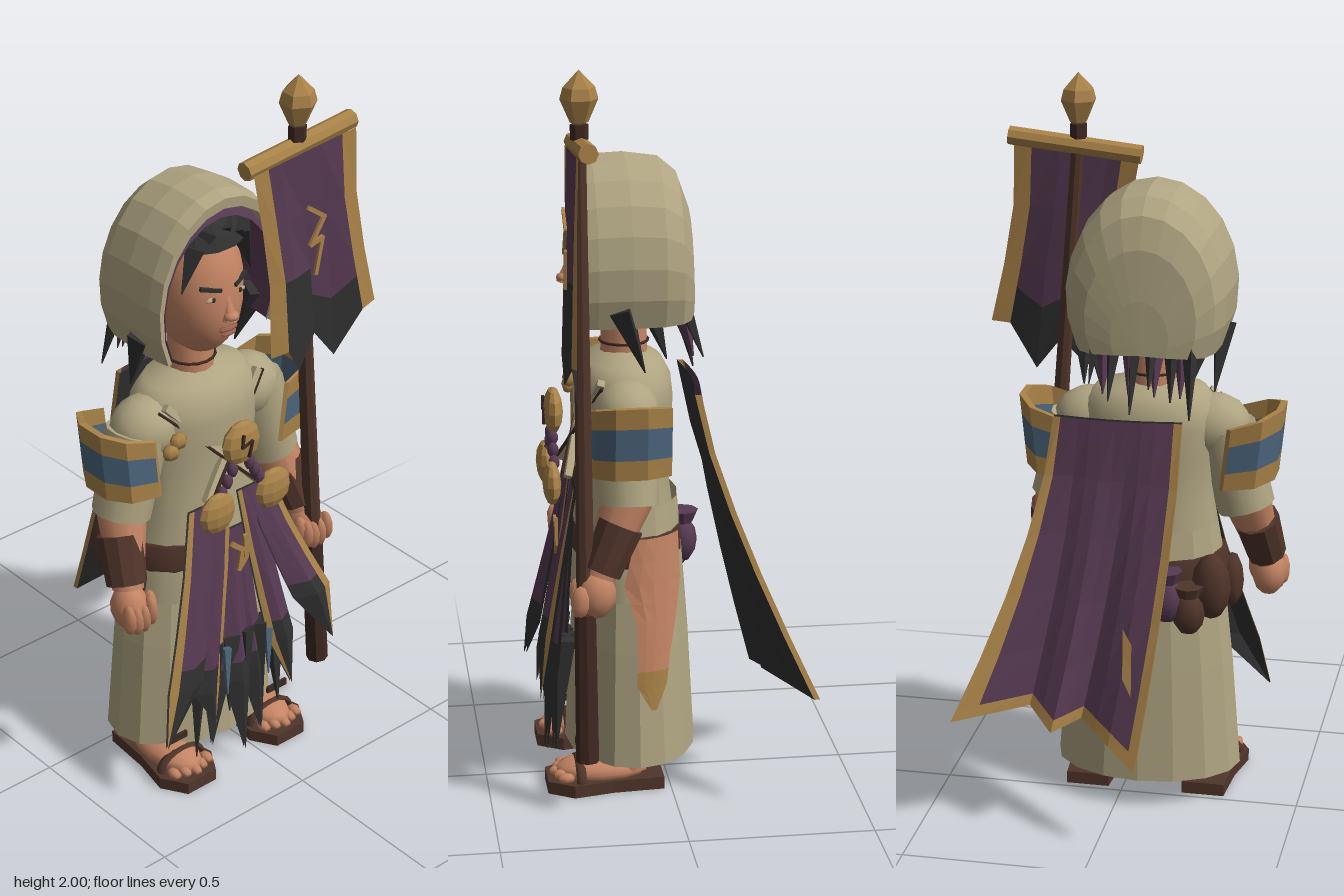
import * as THREE from 'three';

const mats = {};
for (const [k, c] of Object.entries({
  linen: 0xb0a582, purple: 0x573a52, charcoal: 0x303031, gold: 0xa98248, blue: 0x4c667c,
  brown: 0x50352a, wood: 0x3e2822, skin: 0xc58564, lip: 0x96604c })) {
  mats[k] = new THREE.MeshStandardMaterial({ color: c, side: THREE.DoubleSide });
  mats[k].name = k;
}
const V = (x, y, z) => new THREE.Vector3(x, y, z);
const CX = -0.065; // body centre line

function flat(g) {
  const n = g.index ? g.toNonIndexed() : g;
  n.computeVertexNormals();
  return n;
}

export function createModel() {
  const root = new THREE.Group();
  root.name = 'bannerBearer';
  const add = (name, geo, mat, pos = [0, 0, 0]) => {
    const m = new THREE.Mesh(geo, mats[mat]);
    m.name = name;
    m.position.set(...pos);
    root.add(m);
    return m;
  };
  const ball = (name, mat, pos, s, w = 12, h = 8) =>
    add(name, new THREE.SphereGeometry(1, w, h).scale(...s), mat, pos);
  // tapered rod from a to b
  const rod = (name, mat, a, ra, b, rb, n = 10, faceted = false) => {
    const d = b.clone().sub(a);
    let g = new THREE.CylinderGeometry(rb, ra, d.length(), n);
    if (faceted) g = flat(g);
    const m = add(name, g, mat, a.clone().lerp(b, 0.5).toArray());
    m.quaternion.setFromUnitVectors(V(0, 1, 0), d.normalize());
  };
  // cloth grid f(u, v), one mesh per colour chosen by cell
  const panel = (name, f, us, vs, colour) => {
    const cells = {};
    for (let i = 0; i + 1 < us.length; i++) for (let j = 0; j + 1 < vs.length; j++) {
      const [a, b, c, d] = [[i, j], [i, j + 1], [i + 1, j + 1], [i + 1, j]].map(([p, q]) => f(us[p], vs[q]));
      const k = colour((us[i] + us[i + 1]) / 2, (vs[j] + vs[j + 1]) / 2);
      (cells[k] ??= []).push(...a, ...b, ...c, ...a, ...c, ...d);
    }
    for (const k in cells) {
      const g = new THREE.BufferGeometry();
      g.setAttribute('position', new THREE.Float32BufferAttribute(cells[k], 3));
      g.computeVertexNormals();
      add(name + '_' + k, g, k);
    }
  };
  const steps = n => Array.from({ length: n + 1 }, (_, i) => i / n);
  const mix = (a, b, t) => a.map((p, k) => p + (b[k] - p) * t);
  const along = (pts, t) => {
    const s = Math.min(t * (pts.length - 1), pts.length - 1.0001), i = Math.floor(s);
    return mix(pts[i], pts[i + 1], s - i);
  };
  const lathe = (pts, n) => new THREE.LatheGeometry(pts.map(p => new THREE.Vector2(...p)), n).scale(1, 1, 0.7);
  const zigzag = (name, mat, pts, z, w) => {
    for (let i = 0; i + 1 < pts.length; i++) {
      const [a, b] = [pts[i], pts[i + 1]], dx = b[0] - a[0], dy = b[1] - a[1];
      const g = new THREE.BoxGeometry(Math.hypot(dx, dy) + w / 2, w, 0.008).rotateZ(Math.atan2(dy, dx));
      add(name, g, mat, [(a[0] + b[0]) / 2, (a[1] + b[1]) / 2, z]);
    }
  };

  // robe
  add('skirt', flat(lathe([[0, 0.09], [0.26, 0.08], [0.235, 0.4], [0.205, 0.68], [0.19, 0.8]], 16)), 'linen', [CX, 0, 0.09]);
  add('tunic', lathe([[0.215, 0.54], [0.205, 0.7], [0.178, 0.85], [0.188, 1], [0.195, 1.08], [0.187, 1.13], [0.15, 1.18], [0.05, 1.205]], 20), 'linen', [CX, 0, 0.105]);
  add('belt', lathe([[0.212, 0.64], [0.222, 0.65], [0.217, 0.72], [0.2, 0.725]], 16), 'brown', [CX, 0, 0.1]);

  // hip drape wrapped on the robe, with a ragged tip
  panel('hipDrape', (u, v) => {
    const [y, z0, z1] = along([[0.73, 0.1, -0.025], [0.6, 0.13, -0.03], [0.5, 0.1, -0.015], [0.4, 0.095, 0.005], [0.32, 0.1, 0.015], [0.25, 0.06, 0.045]], v);
    const z = z0 + (z1 - z0) * u, r = 0.287 - 0.08 * y;
    return [CX + r * Math.sqrt(1 - ((z - 0.09) / (r * 0.72)) ** 2), y, z];
  }, steps(4), steps(10), (u, v) => v > 0.7 ? 'gold' : 'skin');

  // arms, sandals
  for (const s of [-1, 1]) {
    const P = (x, y, z) => V(CX + s * x, y, z);
    ball('shoulder', 'linen', P(0.17, 1.07, 0.115).toArray(), [0.105, 0.09, 0.09]);
    rod('sleeve', 'linen', P(0.2, 1.07, 0.115), 0.085, P(0.262, 0.84, 0.12), 0.08, 12);
    rod('forearm', 'skin', P(0.262, 0.87, 0.12), 0.07, P(0.31, 0.66, 0.205), 0.042, 10);
    rod('bracer', 'brown', P(0.287, 0.795, 0.145), 0.064, P(0.31, 0.675, 0.2), 0.055, 10, true);
    ball('hand', 'skin', P(0.315, 0.615, 0.215).toArray(), [0.05, 0.068, 0.055], 10, 7);
    for (let i = 0; i < 4; i++) ball('finger', 'skin', P(0.28 + i * 0.024, 0.595 + (i % 3 ? 0 : 0.012), 0.26).toArray(), [0.016, 0.045, 0.026], 6, 5);
    ball('thumb', 'skin', P(0.27, 0.62, 0.245).toArray(), [0.018, 0.04, 0.025], 6, 5);
    // open armband with a thick rim
    const band = [[0.215, 0.0], [0.3, 0.01], [0.345, 0.08], [0.345, 0.165], [0.3, 0.215], [0.215, 0.225]];
    const arc = k => (u, v) => {
      const [x, z] = along(band, u), out = (x - 0.215) / 0.13;
      return P((x + v * 0.02) * k, 0.92 + out * 0.015 + v * (0.175 + out * 0.025), 0.11 + (z - 0.11) * k).toArray();
    };
    const outer = arc(1), inner = arc(0.95);
    for (const f of [outer, inner])
      panel('armBand', f, steps(5), [0, 0.28, 0.72, 1], (u, v) => Math.abs(v - 0.5) < 0.2 ? 'blue' : 'gold');
    for (const e of [0, 1]) {
      panel('armBandRim', (u, v) => mix(outer(u, e), inner(u, e), v), steps(5), [0, 1], () => 'gold');
      panel('armBandEnd', (u, v) => mix(outer(e, u), inner(e, u), v), [0, 1], [0, 1], () => 'gold');
    }

    const fx = CX + s * 0.165;
    const sole = new THREE.Shape();
    sole.moveTo(-0.06, -0.02);
    sole.lineTo(0.06, -0.02); sole.lineTo(0.07, -0.16); sole.lineTo(0.093, -0.27);
    sole.lineTo(0.05, -0.34); sole.lineTo(-0.05, -0.34); sole.lineTo(-0.093, -0.27); sole.lineTo(-0.07, -0.16);
    add('sandalSole', new THREE.ExtrudeGeometry(sole, { depth: 0.035, bevelEnabled: false }).rotateX(-Math.PI / 2), 'brown', [fx, 0, 0]);
    ball('foot', 'skin', [fx, 0.05, 0.19], [0.068, 0.042, 0.13]);
    for (let i = 0; i < 5; i++) ball('toe', 'skin', [fx + (i - 2) * 0.029, 0.045, 0.31 - Math.abs(i - 2) * 0.01], [0.016, 0.015, 0.025], 6, 5);
    rod('ankle', 'skin', V(fx, 0.05, 0.11), 0.052, V(fx, 0.2, 0.1), 0.055);
    add('sandalStrap', new THREE.TorusGeometry(0.068, 0.008, 5, 10, Math.PI).scale(1.1, 0.72, 1.8), 'brown', [fx, 0.033, 0.25]);
    add('hemPatch', new THREE.BoxGeometry(0.07, 0.02, 0.008), 'wood', [fx + s * 0.02, 0.13, 0.255]);
  }

  // head
  const HX = -0.07;
  const head = new THREE.SphereGeometry(1, 20, 16), hp = head.attributes.position;
  for (let i = 0; i < hp.count; i++) {
    const y = hp.getY(i), low = Math.min(y, 0);
    hp.setXYZ(i, hp.getX(i) * 0.12 * (1 + 0.1 * low), y * 0.2, hp.getZ(i) * 0.132 * (1 - 0.18 * low));
  }
  head.computeVertexNormals();
  add('head', head, 'skin', [HX, 1.45, 0.12]);
  rod('neck', 'skin', V(HX, 1.15, 0.1), 0.065, V(HX, 1.36, 0.1), 0.06, 12);
  add('necklace', new THREE.TorusGeometry(0.066, 0.004, 5, 16).rotateX(Math.PI / 2), 'wood', [HX, 1.225, 0.1]);
  const nose = add('nose', new THREE.ConeGeometry(0.022, 0.085, 6), 'skin', [HX, 1.43, 0.252]);
  nose.rotation.x = -0.18;
  ball('noseTip', 'skin', [HX, 1.402, 0.262], [0.022, 0.014, 0.02], 8, 6);
  ball('upperLip', 'lip', [HX, 1.362, 0.25], [0.033, 0.007, 0.012], 8, 5);
  ball('lowerLip', 'lip', [HX, 1.348, 0.25], [0.027, 0.007, 0.012], 8, 5);
  for (const s of [-1, 1]) {
    ball('eye', 'linen', [HX + s * 0.046, 1.455, 0.239], [0.021, 0.007, 0.007], 8, 5);
    ball('iris', 'wood', [HX + s * 0.045, 1.455, 0.2435], [0.007, 0.007, 0.004], 8, 5);
    const brow = add('brow', new THREE.BoxGeometry(0.06, 0.01, 0.01), 'charcoal', [HX + s * 0.05, 1.485, 0.238]);
    brow.rotation.set(0, s * 0.35, s * 0.22);
    ball('ear', 'skin', [HX + s * 0.115, 1.44, 0.11], [0.018, 0.04, 0.028], 8, 6);
  }
  // hair cap, fringe and hanging locks
  add('hairCap', flat(new THREE.SphereGeometry(1, 14, 6, 0, Math.PI * 2, 0, 1.1).scale(0.15, 0.2, 0.145)), 'charcoal', [HX, 1.495, 0.115]);
  add('backHair', flat(new THREE.SphereGeometry(0.14, 12, 8, Math.PI, Math.PI).scale(1, 1.35, 0.95)), 'charcoal', [HX, 1.47, 0.08]);
  const lock = (name, a, b, r, mat = 'charcoal') => rod(name, mat, V(...a), r, V(...b), 0.002, 4, true);
  for (const [x, y, tx, ty] of [[-0.05, 1.64, -0.03, 1.585], [-0.1, 1.63, -0.14, 1.56], [-0.14, 1.6, -0.185, 1.48], [-0.01, 1.62, 0.02, 1.55], [0.01, 1.61, 0.048, 1.48]])
    lock('fringe', [x, y, 0.2], [tx, ty, 0.2], 0.036);
  for (const s of [-1, 1]) {
    lock('sideHair', [HX + s * 0.125, 1.6, 0.15], [HX + s * 0.135, 1.4, 0.14], 0.035);
    lock('sideLock', [CX + s * 0.195, 1.36, 0.13], [CX + s * 0.18, 1.18, 0.065], 0.038);
    lock('sideLock', [CX + s * 0.155, 1.35, 0.05], [CX + s * 0.12, 1.2, 0.0], 0.03);
  }
  for (let i = 0; i < 6; i++)
    lock('napeLock', [CX - 0.13 + i * 0.05, 1.38, -0.035], [CX - 0.14 + i * 0.055, 1.15 + (i % 3) * 0.04, -0.105 + (i % 2) * 0.02], 0.028);
  for (let i = 0; i < 4; i++)
    lock('napeScarf', [CX - 0.11 + i * 0.07, 1.36, -0.035], [CX - 0.11 + i * 0.07, 1.2, -0.075], 0.03, 'purple');

  // hood: arched sections [z, scale] from rim to back
  const hood = (name, rows, mat) => panel(name, (u, v) => {
    const [z, s] = along(rows, v), a = (-30 + 240 * u) * Math.PI / 180;
    return [CX + Math.cos(a) * 0.225 * s, 1.315 + (0.135 + Math.sin(a) * 0.29) * s, z];
  }, steps(14), steps(rows.length - 1), () => mat);
  hood('hood', [[0.2, 0.87], [0.225, 0.89], [0.228, 0.96], [0.19, 0.99], [0.1, 1], [0.01, 0.97], [-0.04, 0.87], [-0.07, 0.67], [-0.082, 0.35], [-0.085, 0]], 'linen');
  hood('hoodLining', [[0.212, 0.82], [0.2, 0.88], [0.1, 0.93], [0, 0.9], [-0.05, 0.7], [-0.072, 0]], 'purple');

  // cape with folded hem, dark inner face and a gold rim
  const hem = [[-0.11, 0.24, -0.37], [-0.03, 0.29, -0.32], [0.06, 0.33, -0.24], [0.13, 0.31, -0.31], [0.2, 0.36, -0.25], [0.395, 0.34, -0.36]];
  const cape = off => (u, v) => {
    const b = along(hem, u), kx = Math.pow(v, 1.55), kz = Math.pow(v, 1.3);
    const x = -0.18 + 0.35 * u, z = -0.07 - 0.015 * Math.sin(u * Math.PI);
    return [x + (b[0] - x) * kx, 1.13 + (b[1] - 1.13) * v, z + (b[2] - z) * kz + Math.sin(u * 16) * 0.012 * v * (1 - v) + off];
  };
  const cu = [0, 0.06, 0.2, 0.3, 0.4, 0.5, 0.6, 0.7, 0.8, 0.94, 1], cv = [0, 0.2, 0.4, 0.6, 0.8, 0.96, 1];
  const outside = cape(-0.006), inside = cape(0.01);
  panel('cape', outside, cu, cv, (u, v) => u < 0.06 || u > 0.94 || v > 0.96 ? 'gold' : 'purple');
  panel('capeLining', inside, cu, cv, () => 'charcoal');
  for (const e of [0, 1]) panel('capeSideRim', (k, v) => mix(outside(e, v), inside(e, v), k), [0, 1], cv, () => 'gold');
  panel('capeHemRim', (u, k) => mix(outside(u, 1), inside(u, 1), k), cu, [0, 1], () => 'gold');
  panel('capePatch', (u, v) => cape(-0.013)(0.17 + 0.08 * u - 0.06 * v, 0.68 + 0.14 * v - 0.03 * u), [0, 1], steps(2), () => 'gold');

  // front tabard strips: top x, width, hem x, width, hem y, tip x, tip y, hem z, gold left, gold right, top y
  const strips = [
    [-0.16, 0.09, -0.28, 0.12, 0.36, -0.37, 0.21, 0.345, 1, 0, 0.85],
    [-0.1, 0.08, -0.19, 0.09, 0.3, -0.18, 0.2, 0.325, 0, 1, 0.85],
    [-0.09, 0.05, -0.13, 0.09, 0.27, -0.17, 0.1, 0.3, 0, 0, 0.74],
    [-0.055, 0.05, -0.07, 0.09, 0.28, -0.06, 0.04, 0.315, 0, 0, 0.74],
    [-0.03, 0.05, 0, 0.09, 0.28, 0.01, 0.07, 0.3, 0, 0, 0.74],
    [0.0, 0.07, 0.08, 0.09, 0.36, 0.1, 0.2, 0.325, 1, 0, 0.85],
    [0.04, 0.09, 0.17, 0.13, 0.48, 0.23, 0.31, 0.35, 0, 1, 0.85]];
  strips.forEach(([x0, w0, x1, w1, y1, tx, ty, z1, gl, gr, y0], n) => {
    const strip = off => (u, v) => {
      const h = x1 + (u - 0.5) * w1;
      if (v > 0.8) {
        const t = (v - 0.8) / 0.2;
        return [h + (tx - h) * t, y1 + (ty - y1) * t, z1 + 0.015 * t + off];
      }
      const t = v / 0.8, x = x0 + (u - 0.5) * w0;
      return [x + (h - x) * Math.pow(t, 1.2), y0 + (y1 - y0) * t, 0.255 + (z1 - 0.255) * t + (Math.abs(u - 0.5) - 0.25) * -0.05 * t + off];
    };
    const su = [0, 0.2, 0.5, 0.8, 1], sv = [0, 0.3, 0.55, 0.7, 0.8, 1];
    panel('tabardStrip' + (n + 1), strip(0), su, sv,
      (u, v) => gl && u < 0.2 || gr && u > 0.8 ? 'gold' : v > 0.7 ? 'charcoal' : 'purple');
    panel('tabardBacking' + (n + 1), strip(-0.008), su, sv, () => 'charcoal');
  });
  for (let i = 0; i < 6; i++)
    lock('tatter', [-0.19 + i * 0.052, 0.42, 0.28], [-0.22 + i * 0.06, 0.08 + (i * 5 % 4) * 0.05, 0.305], 0.035);
  for (const x of [-0.115, 0.035]) lock('blueTatter', [x, 0.4, 0.305], [x - 0.01, 0.26, 0.325], 0.016, 'blue');

  // chest straps, medallions and beads
  for (const s of [-1, 1]) {
    rod('chestStrap', 'linen', V(CX + s * 0.16, 1.15, 0.18), 0.014, V(CX - s * 0.09, 0.87, 0.265), 0.014, 4, true);
    rod('strapCord', 'wood', V(CX + s * 0.18, 1.14, 0.18), 0.005, V(CX - s * 0.075, 0.88, 0.278), 0.005, 4);
    for (let i = 0; i < 3; i++)
      ball('bead', 'purple', [CX + s * (0.03 + i * 0.018), 0.965 - i * 0.03, 0.3], [0.016, 0.022, 0.016], 7, 5);
  }
  for (const [x, y] of [[-0.25, 1.05], [-0.225, 1.075]]) ball('strapBuckle', 'gold', [x, y, 0.235], [0.028, 0.024, 0.02], 6, 4);
  for (const [x, y, z, r] of [[-0.062, 1.035, 0.295, 0.064], [-0.155, 0.86, 0.31, 0.06], [0.04, 0.86, 0.31, 0.06]])
    add('medallion', flat(new THREE.SphereGeometry(r, 10, 6).scale(1, 1, 0.42)), 'gold', [x, y, z]);
  zigzag('medallionMark', 'wood', [[-0.075, 1.07], [-0.08, 1.035], [-0.045, 1.045], [-0.055, 1.0]], 0.321, 0.007);
  zigzag('tabardTrim', 'gold', [[-0.085, 0.72], [-0.05, 0.69], [-0.06, 0.63], [-0.035, 0.66], [-0.04, 0.73]], 0.292, 0.014);

  // belt pouches
  ball('purplePouch', 'purple', [-0.14, 0.62, -0.07], [0.048, 0.065, 0.042], 8, 6);
  add('pouchNeck', flat(new THREE.CylinderGeometry(0.045, 0.03, 0.035, 8)), 'purple', [-0.14, 0.69, -0.07]);
  ball('brownPouch', 'brown', [-0.255, 0.65, -0.02], [0.055, 0.095, 0.05], 8, 6);
  ball('smallPouch', 'brown', [-0.2, 0.585, -0.065], [0.046, 0.062, 0.04], 8, 6);
  add('smallPouchNeck', flat(new THREE.CylinderGeometry(0.042, 0.03, 0.03, 8)), 'brown', [-0.2, 0.65, -0.065]);
  ball('hipPouch', 'brown', [-0.29, 0.62, 0.12], [0.034, 0.08, 0.045], 8, 6);

  // banner staff
  rod('staff', 'brown', V(0.285, 0.15, 0.245), 0.027, V(0.165, 1.84, 0.24), 0.017, 8, true);
  rod('staffGrip', 'wood', V(0.285, 0.15, 0.245), 0.031, V(0.253, 0.56, 0.245), 0.029, 8, true);
  rod('crossbar', 'gold', V(-0.01, 1.782, 0.237), 0.026, V(0.357, 1.82, 0.237), 0.026, 8, true);
  add('finialCollar', flat(new THREE.CylinderGeometry(0.024, 0.024, 0.04, 6)), 'wood', [0.165, 1.84, 0.24]);
  add('finial', flat(new THREE.LatheGeometry([[0, 1.855], [0.024, 1.865], [0.05, 1.925], [0.042, 1.955], [0, 2]].map(p => new THREE.Vector2(...p)), 6)), 'gold', [0.165, 0, 0.24]);

  // banner: left edge, right edge and two dark tails
  const left = [[0.0, 1.775], [0.03, 1.61], [0.055, 1.44], [0.06, 1.25]];
  const right = [[0.35, 1.805], [0.355, 1.62], [0.385, 1.45], [0.425, 1.3]];
  const bu = [0, 0.14, 0.25, 0.45, 0.64, 0.86, 1], drop = [0.02, 0.02, 0.1, 0.03, 0.13, 0.02, 0.02];
  const banner = (u, v) => {
    const [x, y] = mix(along(left, v), along(right, v), u);
    return [x, y - drop[bu.indexOf(u)] * Math.max(0, v - 0.67) * 3, 0.262 + 0.01 * v + 0.015 * Math.sin(u * 9) * v];
  };
  panel('banner', banner, bu, [0, 1 / 3, 2 / 3, 0.8, 1],
    (u, v) => u < 0.14 || u > 0.86 ? 'gold' : v > 0.8 - (u < 0.4 ? 0.14 : 0) ? 'charcoal' : 'purple');
  zigzag('bannerMark', 'gold', [[0.17, 1.64], [0.225, 1.6], [0.18, 1.53], [0.22, 1.54], [0.2, 1.44]], 0.284, 0.012);

  return root;
}
